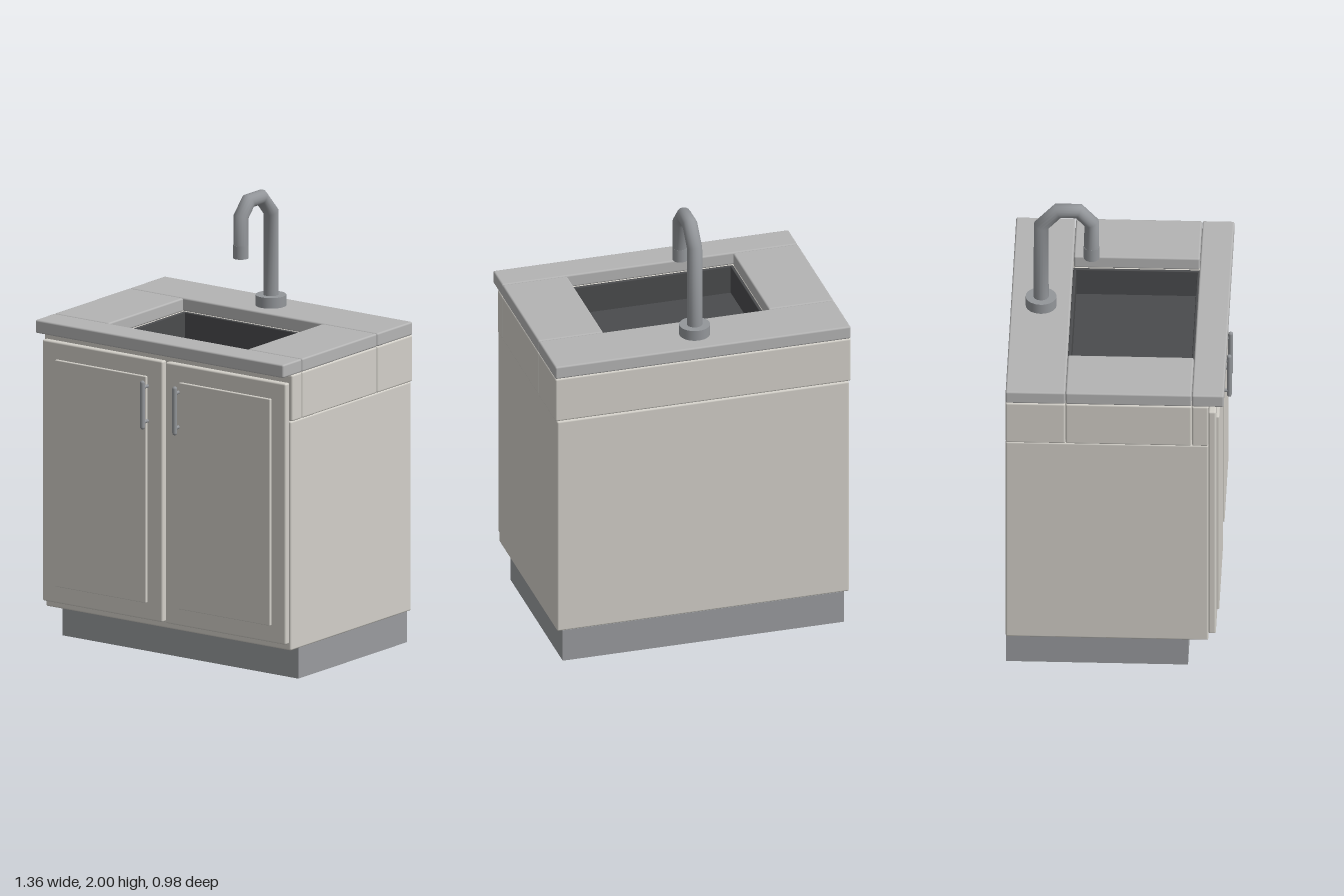
import * as THREE from 'three';
import { RoundedBoxGeometry } from 'three/addons/geometries/RoundedBoxGeometry.js';

const mat = (color) => new THREE.MeshStandardMaterial({ color });

// Curve through straight runs, with rings mitred at each corner
class BentPath extends THREE.Curve {
  constructor(points) {
    super();
    this.points = points;
  }
  getPoint(t, target = new THREE.Vector3()) {
    const last = this.points.length - 1;
    const i = Math.min(Math.floor(t * last + 1e-6), last - 1);
    return target.lerpVectors(this.points[i], this.points[i + 1], t * last - i);
  }
  getPointAt(t, target) {
    return this.getPoint(t, target);
  }
  getTangentAt(t, target = new THREE.Vector3()) {
    const p = this.points, last = p.length - 1, i = Math.round(t * last);
    target.set(0, 0, 0);
    if (i > 0) target.add(p[i].clone().sub(p[i - 1]).normalize());
    if (i < last) target.add(p[i + 1].clone().sub(p[i]).normalize());
    return target.normalize();
  }
}

export function createModel() {
  const model = new THREE.Group();
  model.name = 'sinkCabinet';
  const cabinet = mat(0xd2cfc8), stone = mat(0xb4b4b4), plinth = mat(0x999b9e);
  const metal = mat(0x93969a), dark = mat(0x4a4b4d);

  const add = (parent, name, geometry, material, x = 0, y = 0, z = 0) => {
    const mesh = new THREE.Mesh(geometry, material);
    mesh.name = name;
    mesh.position.set(x, y, z);
    parent.add(mesh);
    return mesh;
  };
  // Box given by its limits on each axis, with softened edges when r > 0
  const box = (parent, name, material, [x0, x1], [y0, y1], [z0, z1], r = 0.008) => {
    const size = [x1 - x0, y1 - y0, z1 - z0];
    const geometry = r ? new RoundedBoxGeometry(...size, 2, r) : new THREE.BoxGeometry(...size);
    return add(parent, name, geometry, material, (x0 + x1) / 2, (y0 + y1) / 2, (z0 + z1) / 2);
  };

  // Base and carcass
  box(model, 'toeKick', plinth, [-0.645, 0.645], [0, 0.15], [-0.487, 0.315], 0);
  box(model, 'cabinetBody', cabinet, [-0.67, 0.67], [0.148, 1.188], [-0.487, 0.405]);

  // Upper frame and worktop, each four pieces around the basin opening
  const layers = [
    ['upperFrame', cabinet, [1.19, 1.4], 0.405],
    ['worktop', stone, [1.4, 1.46], 0.473],
  ];
  for (const [name, material, y, front] of layers) {
    box(model, name + 'Back', material, [-0.678, 0.678], y, [-0.487, -0.225]);
    box(model, name + 'Front', material, [-0.678, 0.678], y, [0.333, front]);
    box(model, name + 'Left', material, [0.38, 0.678], y, [-0.223, 0.331]);
    box(model, name + 'Right', material, [-0.678, -0.38], y, [-0.223, 0.331]);
  }

  // Basin
  const basin = new THREE.Group();
  basin.name = 'basin';
  model.add(basin);
  box(basin, 'basinFloor', dark, [-0.38, 0.38], [1.19, 1.27], [-0.225, 0.333], 0);
  for (const x of [-0.374, 0.374])
    box(basin, 'basinSideWall', dark, [x - 0.007, x + 0.007], [1.19, 1.4], [-0.225, 0.333], 0.004);
  for (const z of [-0.219, 0.327])
    box(basin, 'basinEndWall', dark, [-0.367, 0.367], [1.19, 1.4], [z - 0.007, z + 0.007], 0.004);

  // Doors with raised panels and bar handles
  for (const side of [-1, 1]) {
    const door = new THREE.Group();
    door.name = side > 0 ? 'leftDoor' : 'rightDoor';
    model.add(door);
    const span = (a, b) => (side > 0 ? [a, b] : [-b, -a]);
    box(door, 'doorSlab', cabinet, span(0.008, 0.665), [0.18, 1.365], [0.405, 0.438]);
    box(door, 'doorPanel', cabinet, span(0.09, 0.588), [0.258, 1.287], [0.43, 0.45], 0.004);
    add(door, 'handleBar', new THREE.CapsuleGeometry(0.011, 0.2, 4, 12), metal, side * 0.088, 1.164, 0.477);
    for (const y of [1.085, 1.243]) {
      const post = add(door, 'handlePost', new THREE.CylinderGeometry(0.008, 0.008, 0.04, 10), metal,
        side * 0.088, y, 0.46);
      post.rotation.x = Math.PI / 2;
    }
  }

  // Tap
  const tap = new THREE.Group();
  tap.name = 'tap';
  model.add(tap);
  add(tap, 'tapBase', new THREE.CylinderGeometry(0.068, 0.068, 0.05, 32), metal, 0, 1.483, -0.354);
  const path = [[1.5, -0.354], [1.885, -0.354], [1.966, -0.28], [1.966, -0.188], [1.905, -0.132], [1.72, -0.132]]
    .map(([y, z]) => new THREE.Vector3(0, y, z));
  add(tap, 'tapSpout', new THREE.TubeGeometry(new BentPath(path), path.length - 1, 0.034, 16), metal);
  add(tap, 'tapNozzle', new THREE.CylinderGeometry(0.0345, 0.0345, 0.06, 16), metal, 0, 1.749, -0.132);
  return model;
}
